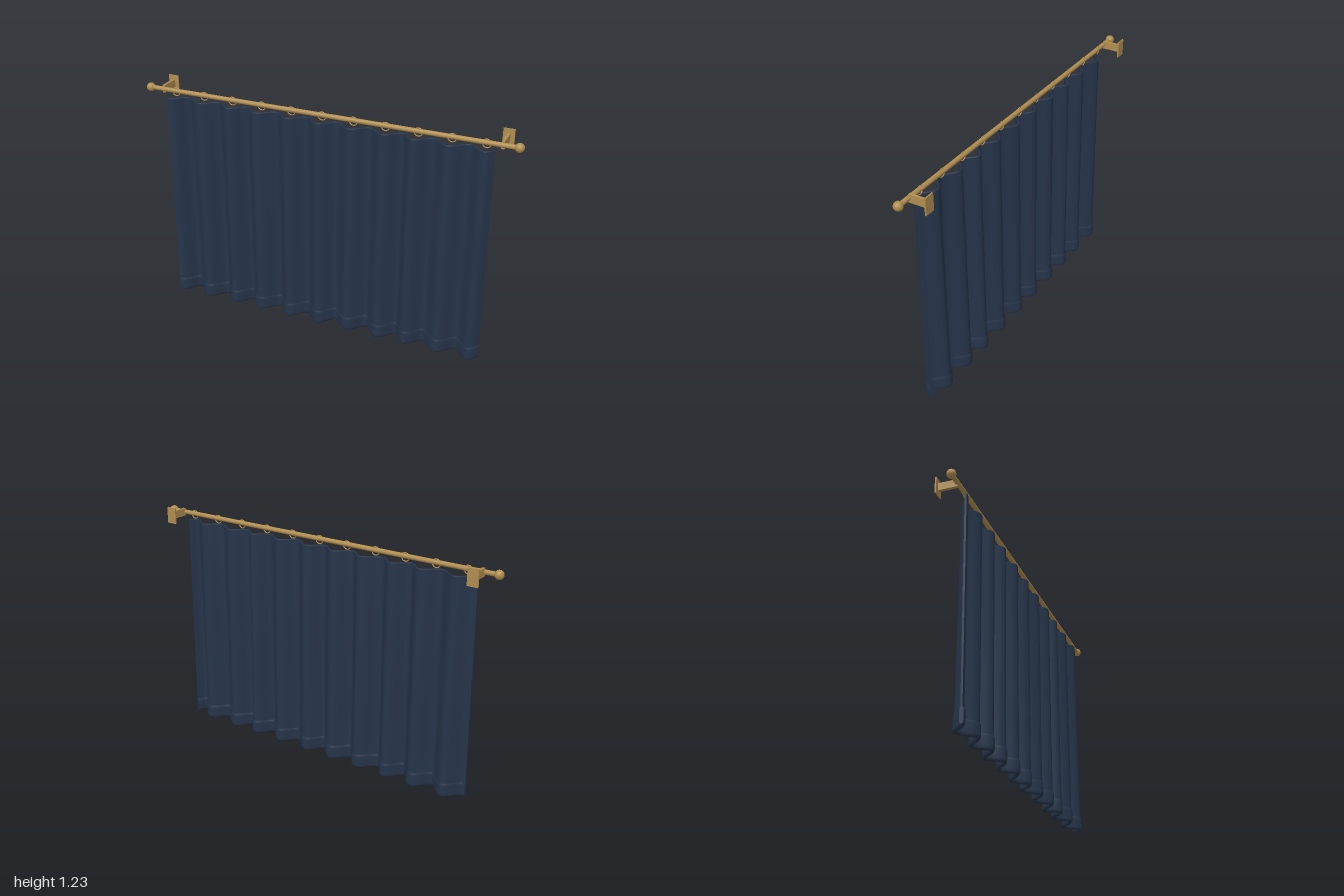
import * as THREE from 'three';

const ROD_Y = 1.185, ROD_Z = 0.03;

// Fold crests in x, alternating front and back, slightly irregular
const CRESTS = [-0.85, -0.77, -0.68, -0.59, -0.515, -0.43, -0.36, -0.26, -0.185, -0.095, -0.015,
  0.065, 0.155, 0.24, 0.325, 0.41, 0.475, 0.56, 0.65, 0.74, 0.825, 0.885];

// Fold wave, 1 at front crests and -1 at back crests
function wave(x) {
  if (x <= CRESTS[0]) return 1;
  let i = 0;
  while (i < CRESTS.length - 2 && x > CRESTS[i + 1]) i++;
  const t = (x - CRESTS[i]) / (CRESTS[i + 1] - CRESTS[i]);
  return (i % 2 ? -1 : 1) * Math.cos(Math.PI * t);
}

// Cloth with thickness: a closed vertical section swept along the folds
function curtainGeometry() {
  const half = [ // height, half thickness; the thick band at the bottom is the hem
    [0, 0.004], [0.004, 0.008], [0.015, 0.0105], [0.062, 0.0105], [0.072, 0.009], [0.078, 0.005],
    [0.3, 0.005], [0.6, 0.005], [0.9, 0.005], [1.144, 0.005], [1.15, 0.0035],
  ];
  const n = half.length;
  const section = [...half, ...half.map(([y, t]) => [y, -t]).reverse()];
  const m = section.length, steps = 280, x0 = -0.866, x1 = 0.862;
  const pos = [], index = [];

  for (let i = 0; i <= steps; i++) {
    const x = x0 + (x1 - x0) * i / steps;
    const slope = (wave(x + 0.001) - wave(x - 0.001)) / 0.002;
    for (const [y, t] of section) {
      const amp = 0.0345 - 0.0075 * y / 1.15; // folds open towards the floor
      const s = amp * slope, len = Math.hypot(1, s);
      pos.push(x - t * s / len, y, 0.03 + amp * wave(x) + t / len);
    }
  }
  for (let i = 0; i < steps; i++) {
    for (let j = 0; j < m; j++) {
      const k = (j + 1) % m;
      const a = i * m + j, b = a + m, c = (i + 1) * m + k, d = i * m + k;
      index.push(a, b, c, a, c, d);
    }
  }
  // Side edges, with their own vertices so they stay crisp
  for (const end of [0, steps]) {
    const base = pos.length / 3;
    pos.push(...pos.slice(end * m * 3, (end + 1) * m * 3));
    for (let j = 0; j < n - 1; j++) {
      const f = base + j, b = base + m - 1 - j;
      if (end) index.push(f, b, b - 1, f, b - 1, f + 1);
      else index.push(f, b - 1, b, f, f + 1, b - 1);
    }
  }
  const geo = new THREE.BufferGeometry();
  geo.setAttribute('position', new THREE.Float32BufferAttribute(pos, 3));
  geo.setIndex(index);
  geo.computeVertexNormals();
  geo.translate(0, 0, -0.002);
  return geo;
}

export function createModel() {
  const model = new THREE.Group();
  model.name = 'curtainOnRod';
  const brass = new THREE.MeshStandardMaterial({ color: 0xb08d4f });
  brass.name = 'brass';
  const navy = new THREE.MeshStandardMaterial({ color: 0x26354a });
  navy.name = 'navy cloth';

  const add = (name, geo, mat, x, y, z) => {
    const mesh = new THREE.Mesh(geo, mat);
    mesh.name = name;
    mesh.position.set(x, y, z);
    model.add(mesh);
    return mesh;
  };

  add('curtain', curtainGeometry(), navy, 0, 0, 0);

  // Rod
  const rod = add('rod', new THREE.CylinderGeometry(0.012, 0.012, 1.95, 24), brass, 0, ROD_Y, ROD_Z);
  rod.rotation.z = Math.PI / 2;

  // Finials and wall brackets at both ends
  const ball = new THREE.SphereGeometry(0.023, 24, 16);
  const arm = new THREE.BoxGeometry(0.015, 0.04, 0.1);
  const plate = new THREE.BoxGeometry(0.056, 0.086, 0.007);
  for (const [side, s] of [['left', 1], ['right', -1]]) {
    add(side + 'Finial', ball, brass, s * 0.977, ROD_Y, ROD_Z);
    add(side + 'BracketArm', arm, brass, s * 0.9, ROD_Y, -0.02);
    add(side + 'WallPlate', plate, brass, s * 0.9, ROD_Y, -0.0715);
  }

  // Hanging rings
  const ring = new THREE.TorusGeometry(0.021, 0.0028, 8, 28);
  for (let i = -5; i <= 5; i++) add('ring', ring, brass, i * 0.165, 1.18, ROD_Z);

  return model;
}
